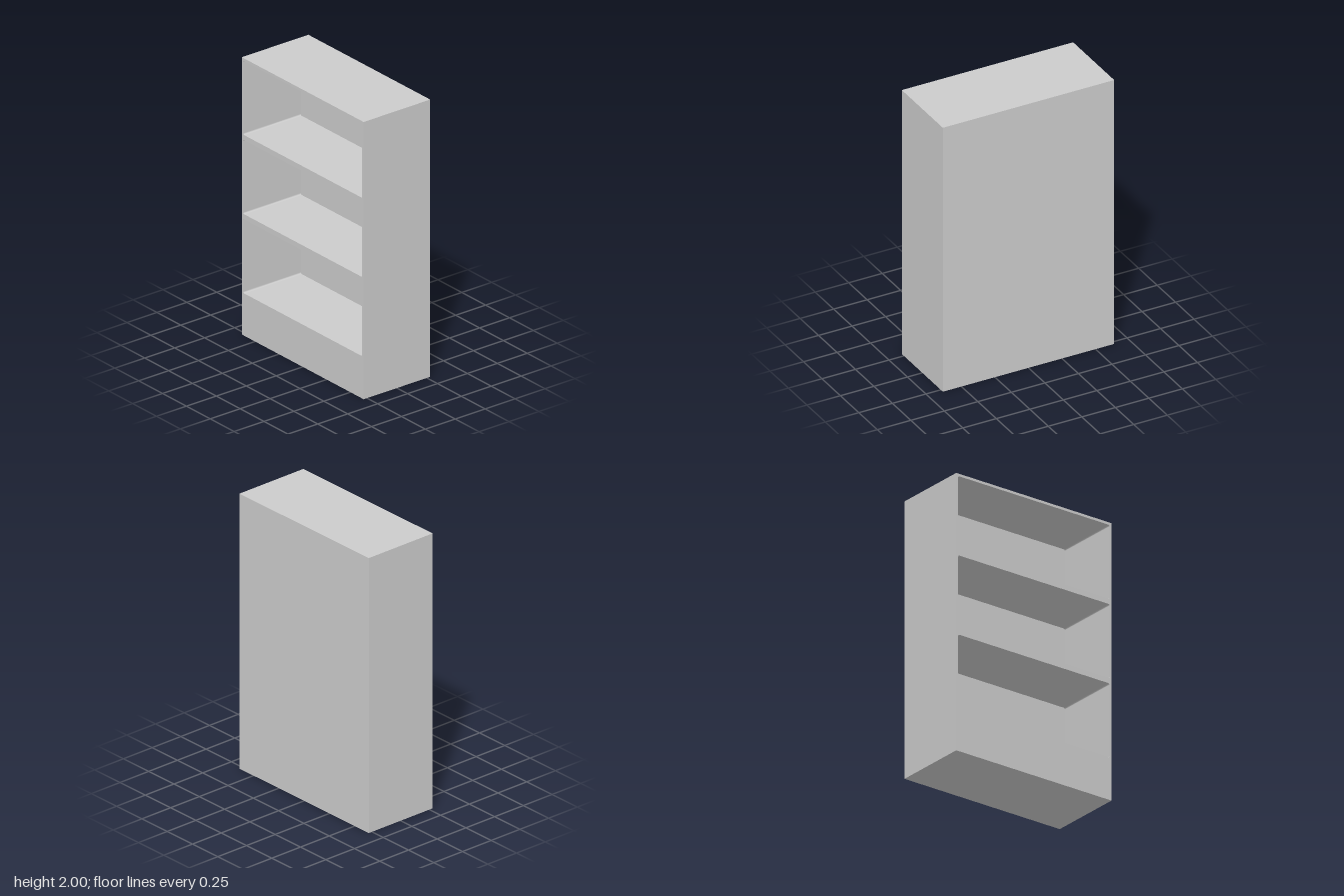
import * as THREE from 'three';

const W = 1.278, H = 2, D = 0.556;      // overall size
const BACK = 0.076;                     // back panel thickness
const OPEN_W = 1.246, OPEN_H = 0.535;   // shelf openings
const FIRST = 0.305, PITCH = 0.571, R = 0.01;

// Rectangle with small rounded corners, centred on x = 0
function roundedRect(w, y0, h, r) {
  const x = w / 2, y1 = y0 + h, q = Math.PI / 2;
  const p = new THREE.Path();
  p.moveTo(-x + r, y0);
  p.absarc(x - r, y0 + r, r, -q, 0);
  p.absarc(x - r, y1 - r, r, 0, q);
  p.absarc(-x + r, y1 - r, r, q, 2 * q);
  p.absarc(-x + r, y0 + r, r, 2 * q, 3 * q);
  p.closePath();
  return p;
}

export function createModel() {
  const group = new THREE.Group();
  group.name = 'bookcase';
  const material = new THREE.MeshStandardMaterial({ color: 0xcccccc });

  // Sides, top, plinth and shelves as one carcass with three openings
  const outline = new THREE.Shape();
  outline.moveTo(-W / 2, 0);
  outline.lineTo(W / 2, 0);
  outline.lineTo(W / 2, H);
  outline.lineTo(-W / 2, H);
  outline.closePath();
  for (let i = 0; i < 3; i++) {
    outline.holes.push(roundedRect(OPEN_W, FIRST + i * PITCH, OPEN_H, R));
  }
  const carcass = new THREE.Mesh(
    new THREE.ExtrudeGeometry(outline, { depth: D - BACK, bevelEnabled: false, curveSegments: 4 }),
    material
  );
  carcass.name = 'shelfCarcass';
  carcass.position.z = -D / 2 + BACK;
  group.add(carcass);

  // Closed back
  const back = new THREE.Mesh(new THREE.BoxGeometry(W, H, BACK), material);
  back.name = 'backPanel';
  back.position.set(0, H / 2, -D / 2 + BACK / 2);
  group.add(back);

  return group;
}
